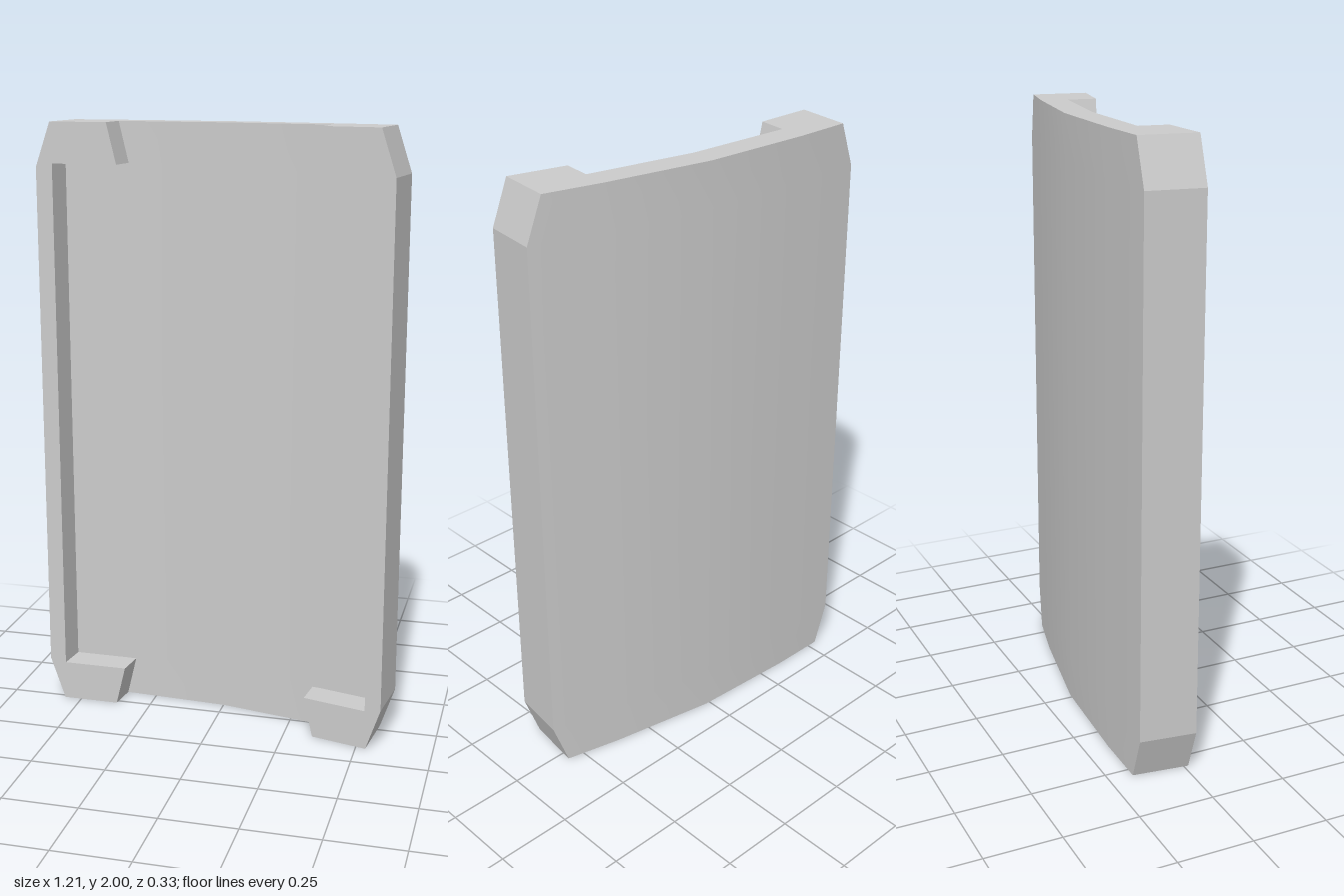
import * as THREE from 'three';
import { toCreasedNormals } from 'three/addons/utils/BufferGeometryUtils.js';

const HALF = 0.6, END = 0.55, KNEE = 0.36;  // half widths: full, chamfered end, bend line
const CHAMFER = 0.145, HEIGHT = 2;
const PLATE = 0.089, DEPTH = 0.186;         // plate thickness, rim depth

// Forward sweep of the curved panel: shallow inside the knee, steeper outside.
const outerBend = (u) => 0.024 + (Math.abs(u) - KNEE) * 0.117;
const bend = (u) => (Math.abs(u) < KNEE ? Math.abs(u) * 0.0667 : outerBend(u));

const toShape = (points) => new THREE.Shape(points.map(([x, y]) => new THREE.Vector2(x, y)));

function moveVertices(geometry, rule) {
  const p = geometry.attributes.position;
  const v = new THREE.Vector3();
  for (let i = 0; i < p.count; i++) {
    rule(v.fromBufferAttribute(p, i));
    p.setXYZ(i, v.x, v.y, v.z);
  }
  return toCreasedNormals(geometry, 0.2);
}

// Curved plate: bent cross-section swept upward, corners pulled in at both ends.
function plateGeometry() {
  const stations = [-HALF, -KNEE, 0, KNEE, HALF];
  const back = stations.map((u) => [u, -bend(u)]);
  const front = stations.map((u) => [u, -bend(u) - PLATE]).reverse();
  const geometry = new THREE.ExtrudeGeometry(toShape([...back, ...front]), {
    depth: HEIGHT, steps: 3, bevelEnabled: false,
  });
  geometry.rotateX(-Math.PI / 2);
  const levels = [0, CHAMFER, HEIGHT - CHAMFER, HEIGHT];
  return moveVertices(geometry, (v) => {
    const level = Math.round(v.y * 1.5);
    v.y = levels[level];
    if (Math.abs(v.x) > HALF - 0.01 && (level === 0 || level === 3)) {
      v.z += bend(END) - bend(HALF);
      v.x = Math.sign(v.x) * END;
    }
  });
}

// Raised C-shaped rim: thin side rail with a slanted tab at top and bottom.
function rimGeometry(side) {
  const lower = [[0.545, 0.133], [0.328, 0.133], [KNEE, 0], [END, 0], [HALF, CHAMFER]];
  const upper = lower.map(([x, y]) => [x, HEIGHT - y]).reverse();
  const outline = [...lower, ...upper].map(([x, y]) => [side * x, y]);
  const start = PLATE - 0.005;
  const geometry = new THREE.ExtrudeGeometry(toShape(outline), {
    depth: DEPTH - start, bevelEnabled: false,
  });
  return moveVertices(geometry, (v) => { v.z += start + outerBend(v.x); });
}

export function createModel() {
  const model = new THREE.Group();
  model.name = 'curvedPanel';
  const material = new THREE.MeshStandardMaterial({ color: 0xcccccc });

  // The whole panel is turned slightly about its upright axis.
  const panel = new THREE.Group();
  panel.name = 'panel';
  panel.position.set(0.015, 0, -0.148);
  panel.rotation.y = -0.124;
  model.add(panel);

  const add = (name, geometry) => {
    const mesh = new THREE.Mesh(geometry, material);
    mesh.name = name;
    panel.add(mesh);
  };
  add('curvedPlate', plateGeometry());
  add('leftRim', rimGeometry(1));
  add('rightRim', rimGeometry(-1));
  return model;
}
